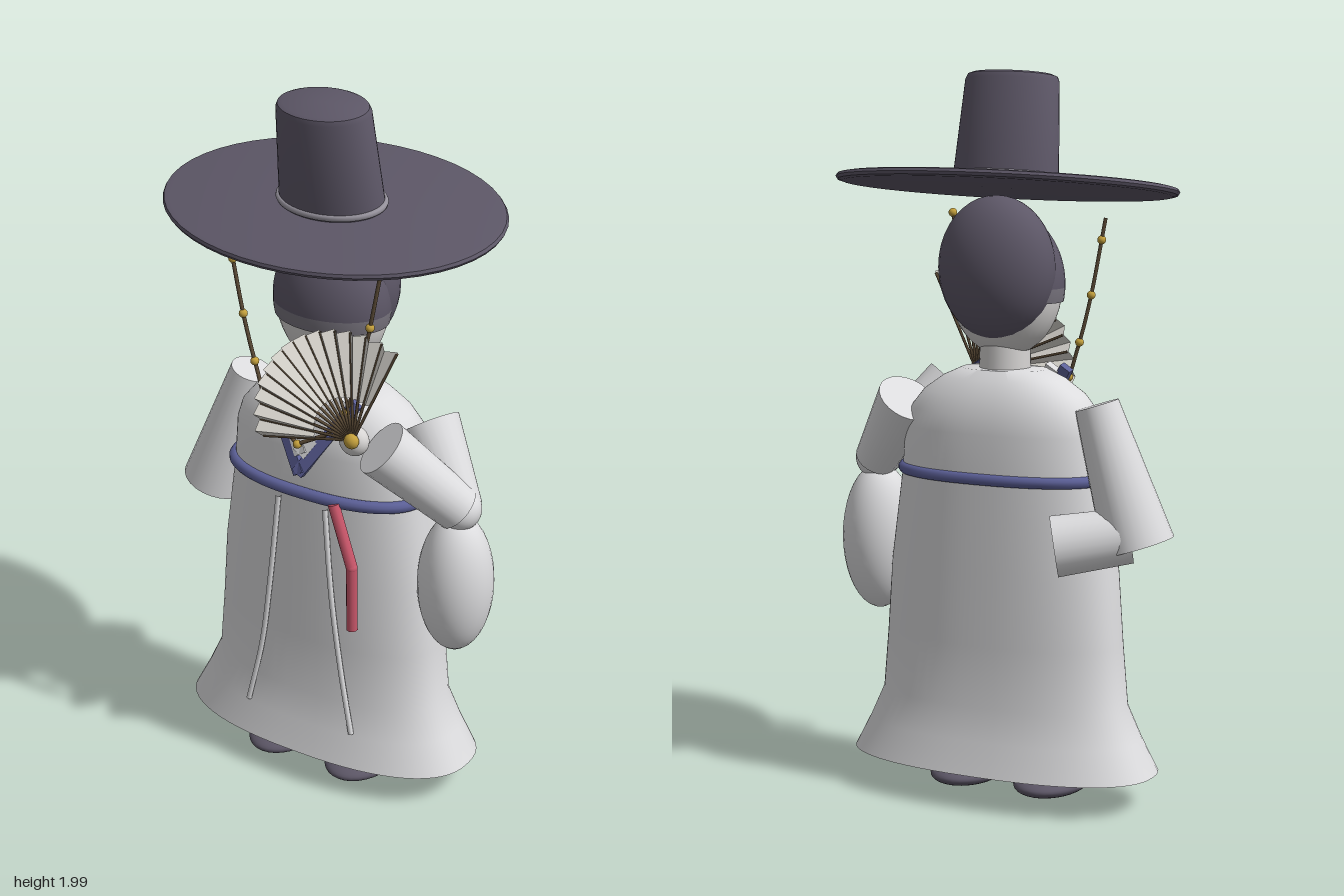
import * as THREE from 'three';
import { toCreasedNormals } from 'three/addons/utils/BufferGeometryUtils.js';

const V = (x, y, z) => new THREE.Vector3(x, y, z);
const mat = (name, color, side = THREE.FrontSide) =>
  Object.assign(new THREE.MeshStandardMaterial({ color, side }), { name });

export function createModel() {
  const model = new THREE.Group();
  model.name = 'robedFigure';
  const cloth = mat('robe white', 0xdcdcde);
  const skin = mat('pale skin', 0xd6d4d3);
  const dark = mat('charcoal', 0x5d5767);
  const band = mat('headband grey', 0x77737d);
  const trim = mat('hat cord grey', 0x96929c);
  const blue = mat('sash blue', 0x5d6199);
  const red = mat('ribbon red', 0xc9566a);
  const gold = mat('gold', 0xc39f3c);
  const brown = mat('cord brown', 0x5e4d38);
  const paper = mat('fan paper', 0xdedbd4, THREE.DoubleSide);

  const add = (name, geo, material, parent = model) => {
    const m = new THREE.Mesh(geo, material);
    m.name = name;
    parent.add(m);
    return m;
  };
  const ellipsoid = (name, c, r, material, parent) => {
    const m = add(name, new THREE.SphereGeometry(1, 32, 20), material, parent);
    m.position.set(...c);
    m.scale.set(...r);
    return m;
  };
  // Tapered cylinder between two points
  const limb = (name, a, b, ra, rb, material, parent, sides = 24) => {
    const m = add(name, new THREE.CylinderGeometry(rb, ra, a.distanceTo(b), sides), material, parent);
    m.position.copy(a).add(b).multiplyScalar(0.5);
    m.quaternion.setFromUnitVectors(V(0, 1, 0), b.clone().sub(a).normalize());
    return m;
  };
  const tube = (name, pts, r, material, parent) =>
    add(name, new THREE.TubeGeometry(new THREE.CatmullRomCurve3(pts), 32, r, 8), material, parent);
  // Point on a slightly squared oval
  const oval = (t, rx, rz) => {
    const f = (v) => Math.sign(v) * Math.abs(v) ** (2 / 2.4);
    return [rx * f(Math.cos(t)), rz * f(Math.sin(t))];
  };
  // Loft of ovals: rows of [y, half width, half depth]
  const loft = (rows, n = 64) => {
    const pos = [], idx = [];
    for (const [y, rx, rz] of rows)
      for (let j = 0; j < n; j++) {
        const [x, z] = oval((j / n) * Math.PI * 2, rx, rz);
        pos.push(x, y, z);
      }
    for (let i = 0; i < rows.length - 1; i++)
      for (let j = 0; j < n; j++) {
        const a = i * n + j, b = i * n + ((j + 1) % n);
        idx.push(a, a + n, b, b, a + n, b + n);
      }
    const g = new THREE.BufferGeometry();
    g.setAttribute('position', new THREE.Float32BufferAttribute(pos, 3));
    g.setIndex(idx);
    return toCreasedNormals(g, 0.7);
  };

  // Robe with flared hem and rounded shoulders
  add('robe', loft([
    [0.1, 0.001, 0.001], [0.1, 0.45, 0.213], [0.19, 0.403, 0.187], [0.28, 0.362, 0.167],
    [0.45, 0.347, 0.163], [0.65, 0.333, 0.16], [0.9, 0.298, 0.156], [1.03, 0.288, 0.153],
    [1.08, 0.272, 0.146], [1.13, 0.232, 0.128], [1.17, 0.175, 0.104], [1.195, 0.12, 0.08], [1.2, 0.001, 0.001],
  ]), cloth).position.z = -0.005;

  // Waist sash and hanging ribbon
  const loop = [];
  for (let i = 0; i < 48; i++) {
    const [x, z] = oval((i / 48) * Math.PI * 2, 0.295, 0.156);
    loop.push(V(x, 0.91, z));
  }
  add('sash', new THREE.TubeGeometry(new THREE.CatmullRomCurve3(loop, true), 96, 0.017, 10, true), blue);
  const ribbon = [V(0.11, 0.91, 0.167), V(0.175, 0.74, 0.178), V(0.175, 0.545, 0.175)];
  for (let i = 0; i < 2; i++) limb('ribbon', ribbon[i], ribbon[i + 1], 0.016, 0.016, red, model, 10);
  ellipsoid('ribbonBend', ribbon[1].toArray(), [0.016, 0.016, 0.016], red);

  for (const s of [-1, 1]) {
    // Robe pleats, shoes and crossed collar strips
    tube('pleat', [V(s * 0.075, 0.88, 0.156), V(s * 0.1, 0.62, 0.163), V(s * 0.13, 0.4, 0.164), V(s * 0.172, 0.2, 0.174)], 0.008, cloth);
    ellipsoid('shoe', [s * 0.13, 0.04, 0.035], [0.1, 0.035, 0.143], dark);
    for (const [name, top, low, w, m] of [
      ['collar', V(s * 0.135, 1.185, 0.1), V(0, 0.98, 0.165), 0.034, blue],
      ['innerCollar', V(s * 0.095, 1.185, 0.1), V(0, 1.035, 0.155), 0.04, cloth]]) {
      const strip = add(name, new THREE.BoxGeometry(w, 0.022, top.distanceTo(low) + 0.015), m);
      strip.position.copy(top).add(low).multiplyScalar(0.5);
      strip.up.set(0, 0, 1);
      strip.lookAt(top);
    }
  }

  // Right arm folded behind the back
  const rightArm = new THREE.Group();
  rightArm.name = 'rightArm';
  model.add(rightArm);
  limb('upperSleeve', V(-0.3, 1.118, -0.055), V(-0.42, 0.745, -0.045), 0.06, 0.098, cloth, rightArm);
  limb('foreSleeve', V(-0.4, 0.775, -0.06), V(-0.22, 0.745, -0.15), 0.075, 0.083, cloth, rightArm);

  // Left arm raised with a drooping sleeve
  const leftArm = new THREE.Group();
  leftArm.name = 'leftArm';
  model.add(leftArm);
  limb('upperSleeve', V(0.27, 1.1, -0.06), V(0.41, 0.91, 0.005), 0.085, 0.06, cloth, leftArm);
  limb('foreSleeve', V(0.41, 0.92, 0.02), V(0.25, 1.115, 0.155), 0.065, 0.08, cloth, leftArm);
  ellipsoid('elbow', [0.41, 0.915, 0.012], [0.06, 0.06, 0.06], cloth, leftArm);
  ellipsoid('hangingSleeve', [0.405, 0.69, 0.015], [0.105, 0.207, 0.105], cloth, leftArm);
  ellipsoid('leftHand', [0.185, 1.132, 0.185], [0.042, 0.042, 0.035], skin, leftArm);

  // Head, hair and headband
  limb('neck', V(0, 1.16, 0), V(0, 1.28, 0), 0.072, 0.068, skin);
  ellipsoid('head', [0, 1.42, 0], [0.162, 0.193, 0.122], skin);
  const cut = (name, lo, hi, m) => {
    // Zone of an ellipsoid between two heights
    const t0 = Math.acos(hi), t1 = Math.acos(lo);
    const z = add(name, new THREE.SphereGeometry(1, 40, 20, 0, Math.PI * 2, t0, t1 - t0), m);
    z.position.set(0, 1.425, 0.002);
    z.scale.set(0.169, 0.2, 0.128);
  };
  cut('headband', -0.23, -0.04, band);
  cut('hairCap', -0.04, 1, dark);
  ellipsoid('backHair', [0, 1.47, -0.05], [0.167, 0.195, 0.12], dark);

  // Wide brimmed hat, tipped forward
  const hat = new THREE.Group();
  hat.name = 'hat';
  hat.position.set(0, 1.69, 0);
  hat.rotation.x = 0.152;
  model.add(hat);
  const lathe = (pts, seg) => toCreasedNormals(
    new THREE.LatheGeometry(pts.map((p) => new THREE.Vector2(...p)), seg), 0.7);
  add('brim', lathe([[0, -0.012], [0.47, -0.012], [0.485, -0.008], [0.49, 0], [0.485, 0.008], [0.47, 0.011], [0, 0.014]], 48), dark, hat)
    .scale.z = 0.695;
  add('crown', lathe([[0.152, 0], [0.134, 0.28], [0.128, 0.293], [0.115, 0.298], [0, 0.301]], 40), dark, hat)
    .scale.z = 0.7;
  const cord = add('hatCord', new THREE.TorusGeometry(0.151, 0.009, 8, 48), trim, hat);
  cord.rotation.x = Math.PI / 2;
  cord.scale.y = 0.7;
  cord.position.y = 0.024;

  // Beaded chin strings
  const beads = new THREE.Group();
  beads.name = 'beadStrings';
  model.add(beads);
  for (const s of [-1, 1]) {
    const pts = [V(s * 0.234, 1.6, 0.14), V(s * 0.19, 1.38, 0.14), V(s * 0.152, 1.24, 0.14), V(s * 0.105, 1.13, 0.15), V(0, 1.065, 0.175)];
    const curve = new THREE.CatmullRomCurve3(pts);
    tube('string', pts, 0.0055, brown, beads);
    for (const u of s > 0 ? [0, 0.26, 0.48, 0.7, 1] : [0.1, 0.35, 0.57, 0.74])
      ellipsoid('bead', curve.getPointAt(u).toArray(), [0.012, 0.012, 0.012], gold, beads);
  }

  // Folding fan with pleated leaf and thin ribs
  const fan = new THREE.Group();
  fan.name = 'fan';
  fan.position.set(0.2, 1.15, 0.215);
  model.add(fan);
  const folds = 28, r0 = 0.12, r1 = 0.304, pos = [];
  const at = (i, r) => {
    const t = THREE.MathUtils.degToRad(66 + (128 * i) / folds);
    return [r * Math.cos(t), r * Math.sin(t), (i % 2 ? 0.014 : -0.014) * (r / r1)];
  };
  for (let i = 0; i < folds; i++) {
    const a = at(i, r0), b = at(i, r1), c = at(i + 1, r0), d = at(i + 1, r1);
    pos.push(...a, ...b, ...d, ...a, ...d, ...c);
  }
  const leaf = new THREE.BufferGeometry();
  leaf.setAttribute('position', new THREE.Float32BufferAttribute(pos, 3));
  leaf.computeVertexNormals();
  add('fanLeaf', leaf, paper, fan);
  for (let i = 0; i <= folds; i += 2)
    limb('fanRib', V(0, 0, 0), V(...at(i, r1 - 0.005)), 0.004, 0.004, brown, fan, 6);
  ellipsoid('fanPivot', [0, 0, 0.008], [0.021, 0.021, 0.018], gold, fan);

  return model;
}
